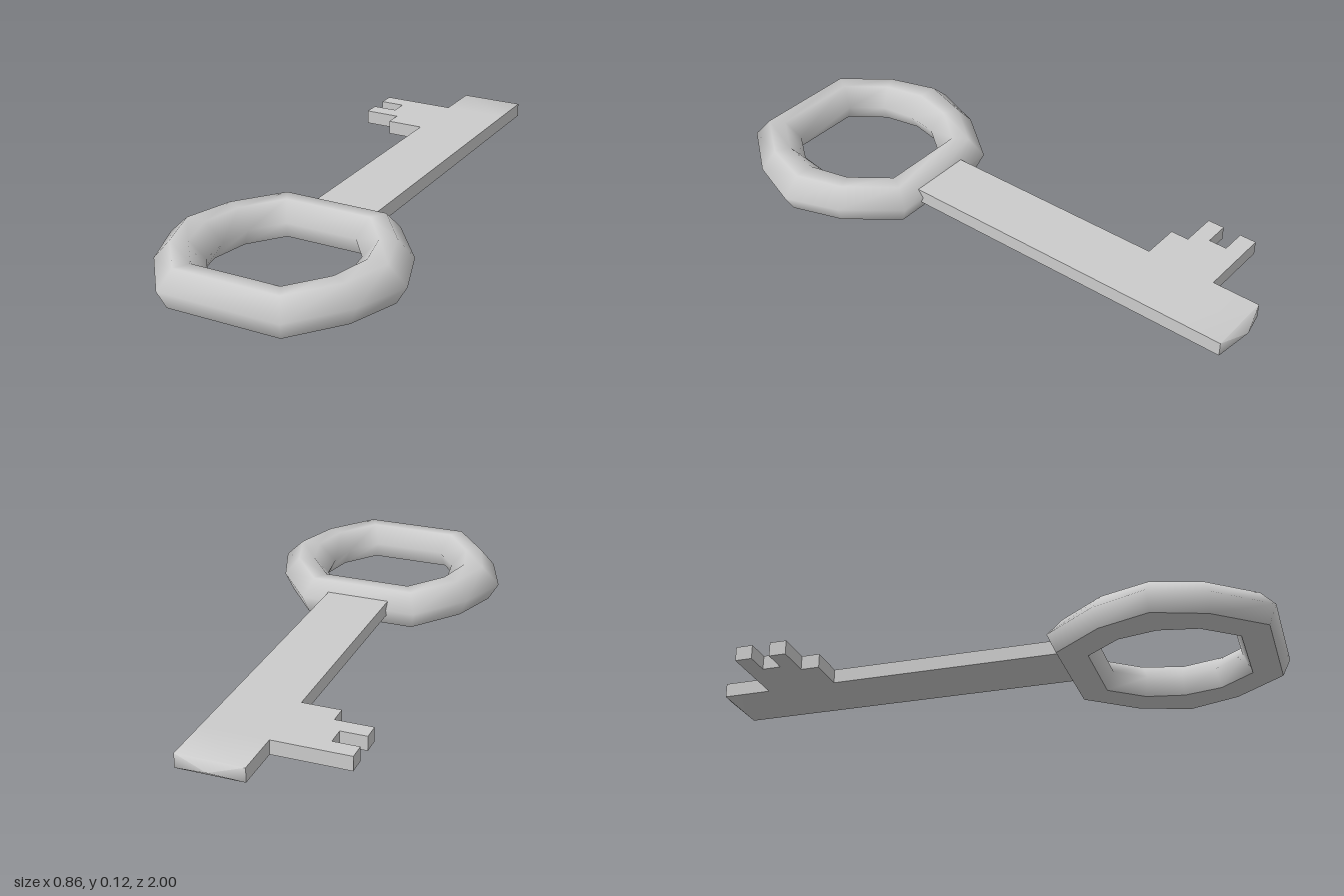
import * as THREE from 'three';
import { toCreasedNormals } from 'three/addons/utils/BufferGeometryUtils.js';

const material = new THREE.MeshStandardMaterial({ color: 0xcccccc });

function makeMesh(name, geometry) {
  const mesh = new THREE.Mesh(geometry, material);
  mesh.name = name;
  return mesh;
}

function indexedGeometry(points, index) {
  const geometry = new THREE.BufferGeometry();
  geometry.setAttribute('position', new THREE.Float32BufferAttribute(points, 3));
  geometry.setIndex(index);
  geometry.computeVertexNormals();
  return geometry;
}

// Ten-sided bow: a faceted section swept between an inner and an outer outline
function bowGeometry() {
  const quarter = [ // outer x, z, inner x, z
    [0.215, -0.375, 0.13, -0.225],
    [0.36, -0.19, 0.21, -0.12],
    [0.43, 0, 0.228, 0],
  ];
  const flipZ = ([a, b, c, d]) => [a, -b, c, -d];
  const half = [...quarter, flipZ(quarter[1]), flipZ(quarter[0])];
  const outline = [...half, ...half.map(([a, b, c, d]) => [-a, -b, -c, -d])];
  // [blend from inner to outer, height]; the flat underside repeats its edges to stay sharp
  const section = [
    [0.82, 0], [1, 0.0625], [0.675, 0.125], [0.325, 0.125], [0, 0.0625], [0.18, 0],
    [0.18, 0], [0.82, 0],
  ];
  const points = [], index = [], n = outline.length;
  section.forEach(([t, y], s) => {
    outline.forEach(([ox, oz, ix, iz], i) => {
      points.push(ix + (ox - ix) * t, y, iz + (oz - iz) * t);
      if (s === 5 || s === 7) return;
      const a = s * n + i, b = s * n + (i + 1) % n;
      index.push(a, a + n, b, b, a + n, b + n);
    });
  });
  return indexedGeometry(points, index);
}

const LEFT = -0.11, RIGHT = 0.12, LOW = 0.04, HIGH = 0.09;

// Flat plate from an outline of [x, z] points
function plate(outline) {
  const shape = new THREE.Shape(outline.map(([x, z]) => new THREE.Vector2(x, -z)));
  return new THREE.ExtrudeGeometry(shape, { depth: HIGH - LOW, bevelEnabled: false })
    .rotateX(-Math.PI / 2)
    .translate(0, LOW, 0);
}

// End of the shaft, closing to a shallow point
function tipGeometry() {
  const corners = [[LEFT, LOW], [RIGHT, LOW], [RIGHT, HIGH], [LEFT, HIGH]];
  const points = [-0.8, -0.97].flatMap(z => corners.flatMap(([x, y]) => [x, y, z]));
  points.push(0, 0.065, -1);
  const index = [];
  for (let i = 0; i < 4; i++) {
    const j = (i + 1) % 4;
    index.push(i, j + 4, j, i, i + 4, j + 4, i + 4, 8, j + 4);
  }
  return toCreasedNormals(indexedGeometry(points, index), Math.PI / 3);
}

export function createModel() {
  const key = new THREE.Group();
  key.name = 'key';

  const bow = makeMesh('bow', bowGeometry());
  bow.position.z = 0.625;

  // Shaft and stepped, notched bit in one outline
  const blade = makeMesh('shaftAndBit', plate([
    [LEFT, 0.28], [RIGHT, 0.28], [RIGHT, -0.8],
    [-0.375, -0.8], [-0.375, -0.74], [-0.285, -0.74], [-0.285, -0.675],
    [-0.375, -0.675], [-0.375, -0.615], [-0.245, -0.615], [-0.245, -0.55], [LEFT, -0.55],
  ]));

  key.add(bow, blade, makeMesh('shaftTip', tipGeometry()));
  return key;
}
